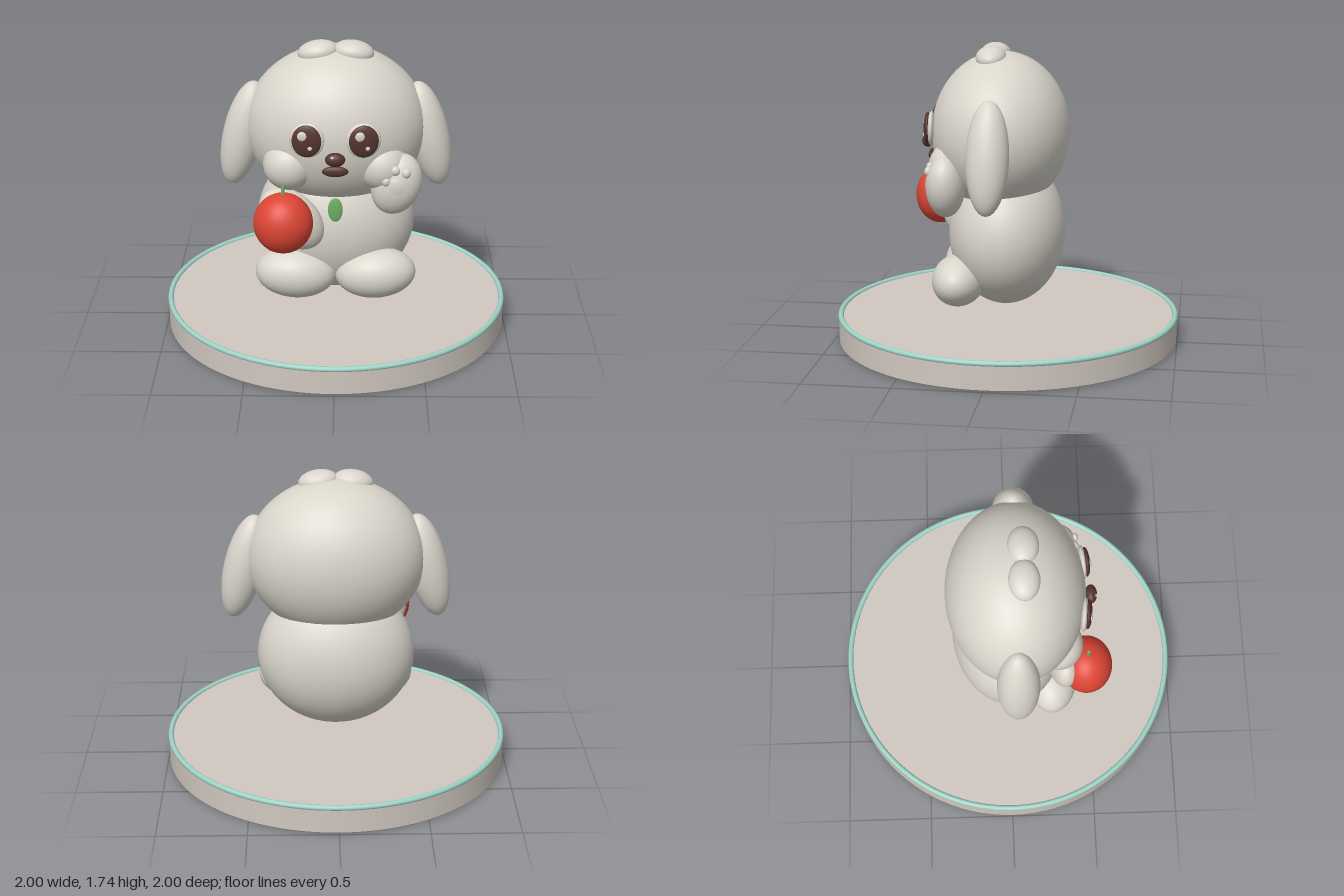
import * as THREE from 'three';

const mat = (name, color) => {
  const m = new THREE.MeshStandardMaterial({ color });
  m.name = name;
  return m;
};

export function createModel() {
  const fur = mat('pale fur', 0xd9d5cb);
  const stone = mat('base stone', 0xd0c8c0);
  const teal = mat('rim teal', 0x9fd2c5);
  const brown = mat('dark brown', 0x55352f);
  const red = mat('apple red', 0xdc4535);
  const green = mat('leaf green', 0x6fae63);

  const model = new THREE.Group();
  model.name = 'puppyOnBase';

  const add = (name, geometry, material, pos = [0, 0, 0], rot = [0, 0, 0], parent = model) => {
    const mesh = new THREE.Mesh(geometry, material);
    mesh.name = name;
    mesh.position.set(...pos);
    mesh.rotation.set(...rot);
    parent.add(mesh);
    return mesh;
  };

  // Smooth ellipsoid with the given centre, radii and tilt
  const blob = (name, material, pos, radii, rot, parent, seg = 40) =>
    add(name, new THREE.SphereGeometry(1, seg, Math.round(seg * 0.7)).scale(...radii), material, pos, rot, parent);

  // Round base with softly bevelled edges and a coloured rim
  const profile = [[0, 0.005], [0.985, 0.005], [0.995, 0.015], [0.995, 0.152], [0.985, 0.162], [0, 0.162]];
  // Repeated corner points keep the edges crisp
  const points = profile.flatMap(([r, y]) => [new THREE.Vector2(r, y), new THREE.Vector2(r, y)]).slice(1, -1);
  add('base', new THREE.LatheGeometry(points, 96), stone);
  add('baseRim', new THREE.TorusGeometry(0.984, 0.016, 12, 96).rotateX(Math.PI / 2), teal, [0, 0.161, 0]);

  // Body and head
  blob('body', fur, [0, 0.655, 0.003], [0.458, 0.43, 0.337], undefined, model, 56);
  blob('head', fur, [0, 1.24, 0.04], [0.518, 0.46, 0.396], undefined, model, 56);

  // Mirrored parts
  for (const s of [1, -1]) {
    const side = s > 0 ? 'left' : 'right';
    blob(side + 'Ear', fur, [s * 0.53, 1.18, 0.043], [0.116, 0.318, 0.12], [0, 0, s * 0.235]);
    blob(side + 'HeadTuft', fur, [s * 0.1, 1.677, 0.083], [0.115, 0.064, 0.087], [0, 0, -s * 0.15]);
    blob(side + 'Cheek', fur, [s * 0.26, 1.075, 0.275], [0.147, 0.145, 0.142]);
    blob(side + 'Foot', fur, [s * 0.23, 0.402, 0.255], [0.232, 0.148, 0.152], [0, 0, s * 0.06]);

    // Eye with its two highlights
    const eye = new THREE.Group();
    eye.name = side + 'Eye';
    eye.position.set(s * 0.155, 1.27, 0.42);
    eye.rotation.y = s * 0.1;
    model.add(eye);
    blob('eyeWhite', fur, [0, 0, 0], [0.098, 0.1, 0.025], undefined, eye, 28);
    blob('pupil', brown, [0, 0.003, 0.022], [0.082, 0.092, 0.022], undefined, eye, 28);
    blob('largeHighlight', fur, [-0.022, 0.034, 0.038], [0.028, 0.028, 0.01], undefined, eye, 16);
    blob('smallHighlight', fur, [0.02, -0.033, 0.04], [0.013, 0.013, 0.007], undefined, eye, 16);
  }

  // Nose and mouth
  blob('nose', brown, [0, 1.175, 0.468], [0.056, 0.039, 0.035], undefined, model, 28);
  blob('noseHighlight', fur, [-0.016, 1.195, 0.495], [0.01, 0.008, 0.006], undefined, model, 12);
  blob('mouth', brown, [0, 1.096, 0.443], [0.073, 0.031, 0.02], undefined, model, 28);

  // Leaf on the chest
  blob('chestLeaf', green, [0, 0.845, 0.388], [0.041, 0.072, 0.011], undefined, model, 24);

  // Arm holding the apple
  blob('rightArm', fur, [-0.247, 0.765, 0.325], [0.215, 0.148, 0.1], [0, 0, -0.8]);
  blob('apple', red, [-0.29, 0.79, 0.447], [0.167, 0.174, 0.15]);
  add('appleStem', new THREE.CylinderGeometry(0.009, 0.011, 0.07, 12), green, [-0.29, 0.977, 0.452]);

  // Waving arm with paw pads
  blob('leftArm', fur, [0.343, 0.975, 0.31], [0.14, 0.183, 0.11], [0, 0, -0.32]);
  blob('pawPad', fur, [0.34, 0.985, 0.402], [0.052, 0.062, 0.021], undefined, model, 24);
  for (const [x, y] of [[0.282, 1.02], [0.333, 1.083], [0.393, 1.068]]) {
    blob('toePad', fur, [x, y, 0.397], [0.026, 0.028, 0.022], undefined, model, 18);
  }

  return model;
}
